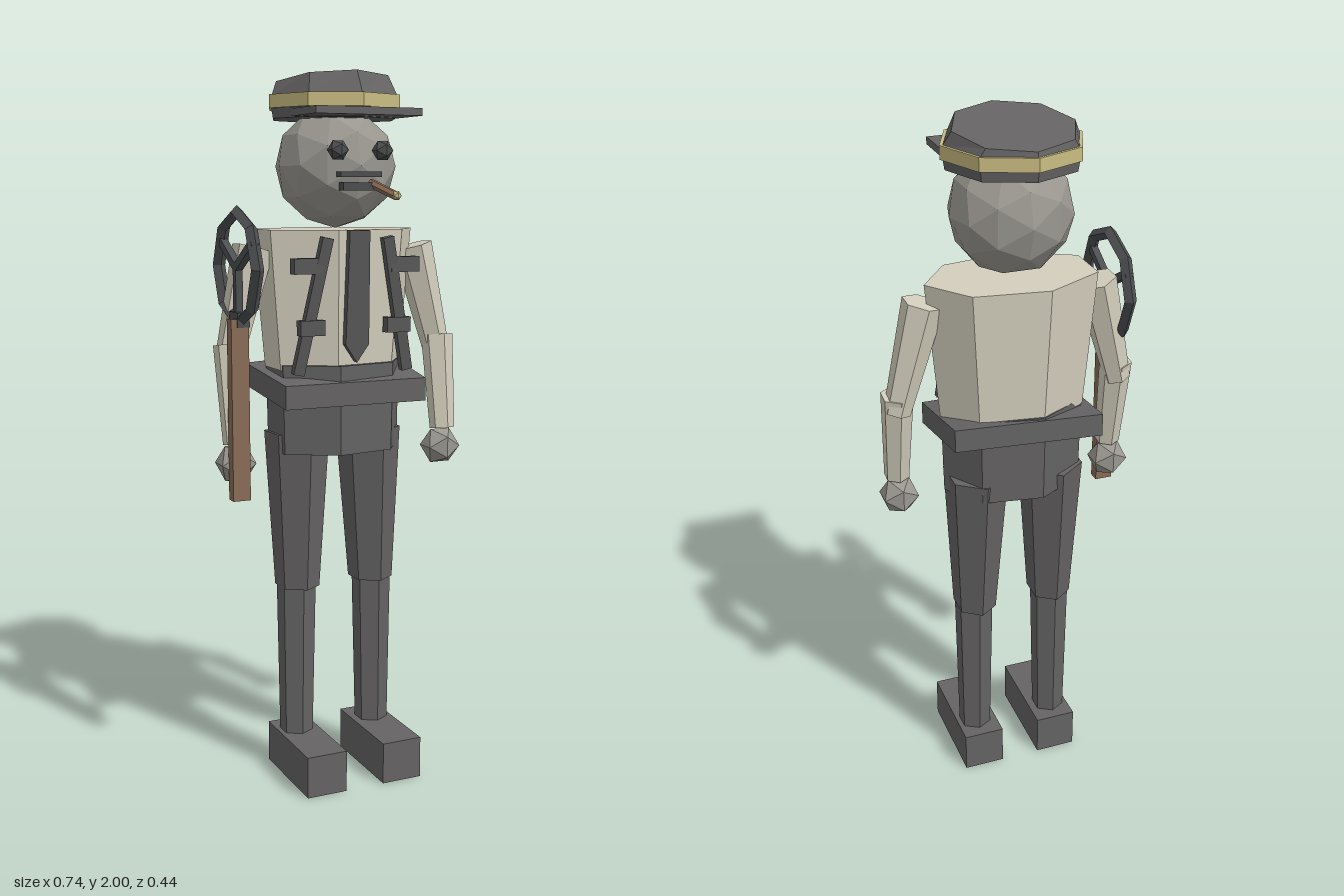
import * as THREE from 'three';

export function createModel() {
  const model = new THREE.Group();
  const mat = (name, hex) => {
    const m = new THREE.MeshStandardMaterial({ color: hex, flatShading: true });
    m.name = name;
    return m;
  };
  const cloth = mat('dark uniform grey', 0x656363);
  const shirt = mat('cream shirt', 0xd3cebd);
  const skin = mat('grey skin', 0x9a9790);
  const gold = mat('gold band', 0xc9bd82);
  const wood = mat('brown wood', 0x8a6b57);
  const iron = mat('dark iron', 0x4c4e50);
  const leather = mat('strap grey', 0x585858);

  const add = (name, geo, m, x = 0, y = 0, z = 0) => {
    const mesh = new THREE.Mesh(geo, m);
    mesh.name = name;
    mesh.position.set(x, y, z);
    model.add(mesh);
    return mesh;
  };
  const box = (name, m, w, h, d, x, y, z) => add(name, new THREE.BoxGeometry(w, h, d), m, x, y, z);

  // Tapered prism between two points
  const limb = (name, m, a, b, ra, rb, sides = 6) => {
    const p = new THREE.Vector3(...a), q = new THREE.Vector3(...b);
    const dir = p.clone().sub(q);
    const mesh = add(name, new THREE.CylinderGeometry(ra, rb, dir.length(), sides), m);
    mesh.position.copy(p).add(q).multiplyScalar(0.5);
    mesh.quaternion.setFromUnitVectors(new THREE.Vector3(0, 1, 0), dir.normalize());
    return mesh;
  };
  // Thin flat bar between two points, facing forward
  const bar = (name, m, a, b, width, depth) => {
    const p = new THREE.Vector3(...a), q = new THREE.Vector3(...b);
    const mesh = add(name, new THREE.BoxGeometry(width, p.distanceTo(q), depth), m);
    mesh.position.copy(p).add(q).multiplyScalar(0.5);
    mesh.quaternion.setFromUnitVectors(new THREE.Vector3(0, 1, 0), p.sub(q).normalize());
    return mesh;
  };
  // Move vertices by a rule
  const bend = (geo, rule) => {
    const pos = geo.attributes.position, v = new THREE.Vector3();
    for (let i = 0; i < pos.count; i++) {
      rule(v.fromBufferAttribute(pos, i));
      pos.setXYZ(i, v.x, v.y, v.z);
    }
    geo.computeVertexNormals();
    return geo;
  };

  // Seven-sided torso and hips
  const trunk = (rt, rb, h, depth) =>
    new THREE.CylinderGeometry(rt, rb, h, 7, 1, false, Math.PI / 2).scale(1, 1, depth);
  add('torso', trunk(0.243, 0.208, 0.385, 0.65), shirt, 0, 1.3875, -0.03);
  add('hips', trunk(0.205, 0.2, 0.25, 0.72), cloth, 0, 1.085, -0.025);

  // Belt, rising toward the back
  add('belt', bend(new THREE.BoxGeometry(0.426, 0.065, 0.302), v => {
    if (v.z < 0) v.y += v.x > 0 ? 0.055 : 0.03;
  }), cloth, 0, 1.133, -0.024);

  // Tie
  const tie = new THREE.Shape();
  tie.moveTo(-0.03, 0.36);
  tie.lineTo(-0.035, 0.05);
  tie.lineTo(0, 0);
  tie.lineTo(0.035, 0.05);
  tie.lineTo(0.03, 0.36);
  const tieMesh = add('tie', new THREE.ExtrudeGeometry(tie, { depth: 0.02, bevelEnabled: false }),
    leather, 0, 1.22, 0.105);
  tieMesh.rotation.x = 0.05;

  for (const s of [-1, 1]) {
    // Braces and pouches
    bar('brace', leather, [s * 0.09, 1.56, 0.125], [s * 0.165, 1.19, 0.095], 0.032, 0.022);
    box('upperPouch', leather, 0.085, 0.042, 0.03, s * 0.145, 1.485, 0.115);
    box('lowerPouch', leather, 0.072, 0.042, 0.03, s * 0.13, 1.318, 0.108);

    // Legs and boots
    limb('thigh', cloth, [s * 0.112, 1.01, -0.04], [s * 0.117, 0.56, -0.03], 0.09, 0.062)
      .scale.z = 1.2;
    limb('shin', cloth, [s * 0.12, 0.58, -0.03], [s * 0.122, 0.1, -0.03], 0.057, 0.048);
    box('boot', cloth, 0.12, 0.12, 0.295, s * 0.118, 0.06, 0.0375);

    // Arms and hands
    limb('upperArm', shirt, [s * 0.245, 1.53, -0.025], [s * 0.325, 1.22, -0.015], 0.058, 0.038);
    limb('forearm', shirt, [s * 0.322, 1.27, -0.01], [s * 0.322, 1.0, 0.03], 0.046, 0.036);
    add('hand', new THREE.IcosahedronGeometry(0.058, 0), skin, s * 0.32, 0.946, 0.02);

    // Eyes
    add('eye', new THREE.IcosahedronGeometry(0.029, 0), iron, s * 0.066, 1.79, 0.142);
  }

  // Head and mouth
  add('head', new THREE.IcosahedronGeometry(0.168, 1), skin, 0, 1.75, -0.02);
  box('upperLip', iron, 0.12, 0.014, 0.03, -0.005, 1.727, 0.145);
  box('lowerLip', iron, 0.1, 0.022, 0.03, -0.005, 1.695, 0.14);
  limb('cigar', wood, [0.03, 1.705, 0.14], [0.075, 1.672, 0.2], 0.012, 0.012);
  add('cigarTip', new THREE.IcosahedronGeometry(0.014, 0), gold, 0.077, 1.671, 0.204);

  // Cap with sloping octagonal crown, gold band and visor
  add('capRim', new THREE.CylinderGeometry(0.185, 0.18, 0.03, 8), cloth, 0, 1.892, -0.032);
  add('capBand', new THREE.CylinderGeometry(0.192, 0.192, 0.036, 8), gold, 0, 1.922, -0.03);
  add('capCrown', bend(new THREE.CylinderGeometry(0.165, 0.184, 0.038, 8), v => {
    if (v.y > 0) {
      v.y += v.z * 0.145;
      v.z -= 0.015;
    }
  }), cloth, 0, 1.957, -0.03);
  box('visor', cloth, 0.31, 0.02, 0.19, 0, 1.89, 0.105);

  // Wheel on a wooden pole, held in the right hand
  const wheel = new THREE.Group();
  wheel.name = 'wheel';
  wheel.position.set(-0.318, 1.482, 0.05);
  wheel.rotation.y = Math.PI / 2;
  model.add(wheel);
  const ring = new THREE.Mesh(new THREE.TorusGeometry(0.147, 0.018, 4, 8), iron);
  ring.name = 'wheelRim';
  wheel.add(ring);
  for (let i = 0; i < 3; i++) {
    const a = Math.PI / 2 + Math.PI / 3 + i * Math.PI * 2 / 3;
    const spoke = new THREE.Mesh(new THREE.BoxGeometry(0.145, 0.022, 0.02), iron);
    spoke.name = 'spoke';
    spoke.position.set(Math.cos(a) * 0.072, Math.sin(a) * 0.072, 0);
    spoke.rotation.z = a;
    wheel.add(spoke);
  }
  box('pole', wood, 0.05, 0.495, 0.034, -0.327, 1.1, 0.07);
  box('poleCollar', iron, 0.035, 0.04, 0.06, -0.318, 1.345, 0.06);

  return model;
}
